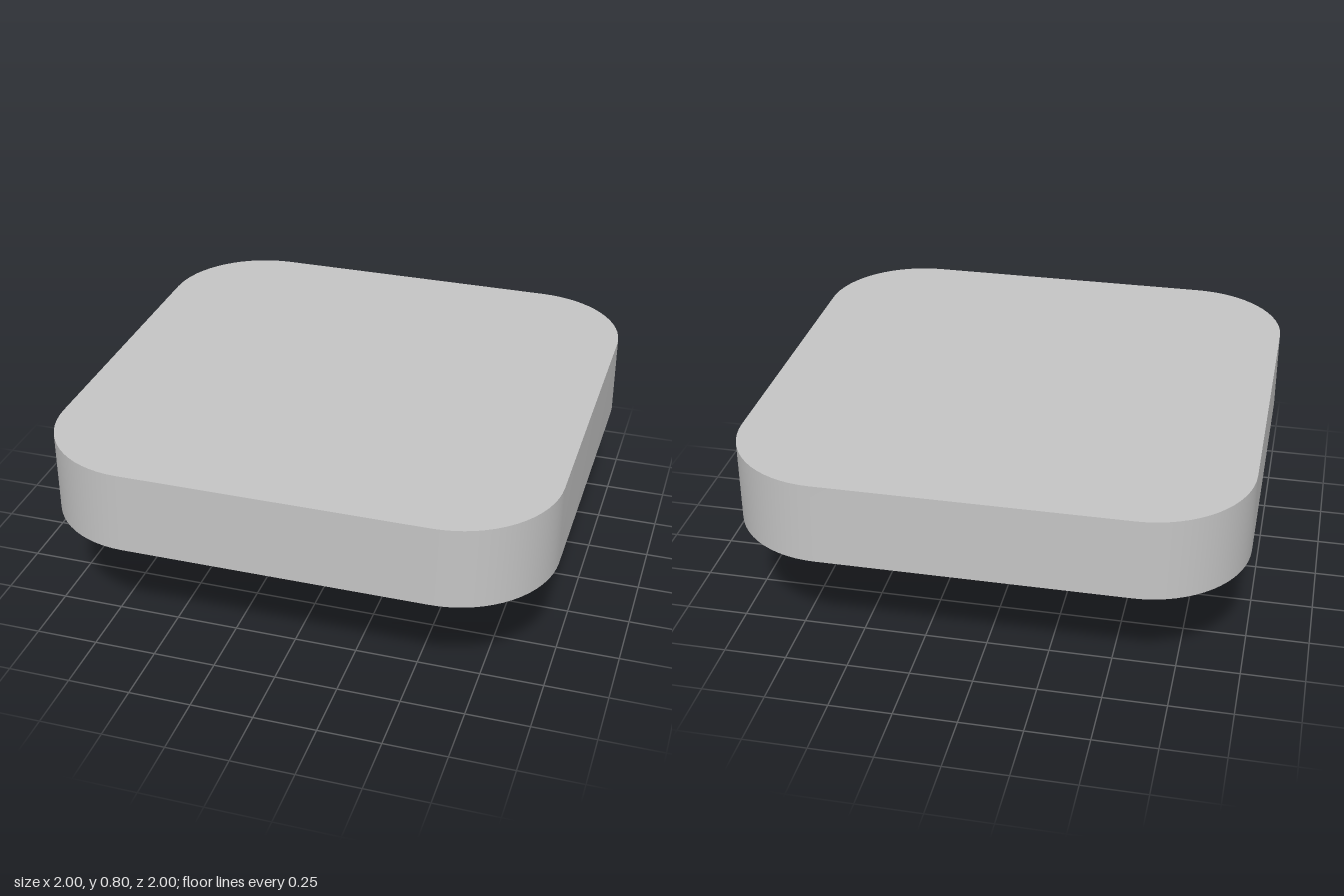
import * as THREE from 'three';
import { toCreasedNormals } from 'three/addons/utils/BufferGeometryUtils.js';

const CORE = 0.6; // distance from the centre to each corner's arc centre
const CEILING = 0.555; // underside of the recess

// Rounded square ring of the given half-width at height y
function ring(half, y, steps = 16) {
  const core = Math.min(half, CORE), radius = Math.max(half - CORE, 0);
  const points = [];
  for (let q = 0; q < 4; q++) {
    const mid = (q + 0.5) * Math.PI / 2;
    const cx = Math.sign(Math.cos(mid)) * core, cz = Math.sign(Math.sin(mid)) * core;
    for (let i = 0; i <= steps; i++) {
      const a = (q + i / steps) * Math.PI / 2;
      points.push(new THREE.Vector3(cx + radius * Math.cos(a), y, cz + radius * Math.sin(a)));
    }
  }
  return points;
}

// Join rings along a [half-width, y] profile; a half-width of 0 closes a cap
function slabGeometry(profile) {
  const rings = profile.map(([half, y]) => ring(half, y));
  const corners = [];
  for (let r = 0; r < rings.length - 1; r++) {
    const a = rings[r], b = rings[r + 1];
    for (let i = 0; i < a.length; i++) {
      const j = (i + 1) % a.length;
      if (profile[r + 1][0] > 0) corners.push(a[i], b[j], b[i]);
      if (profile[r][0] > 0) corners.push(a[i], a[j], b[j]);
    }
  }
  return toCreasedNormals(new THREE.BufferGeometry().setFromPoints(corners), Math.PI / 6);
}

// Straight blade narrowing to a blunt tip
function prongGeometry() {
  const box = new THREE.BoxGeometry(0.136, 2, 0.386, 1, 2, 1);
  const p = box.attributes.position;
  for (let i = 0; i < p.count; i++) {
    const level = Math.round(p.getY(i));
    p.setY(i, level < 0 ? 0 : level === 0 ? 0.16 : CEILING);
    if (level < 0) {
      p.setX(i, Math.sign(p.getX(i)) * 0.03);
      p.setZ(i, Math.sign(p.getZ(i)) * 0.15);
    }
  }
  const flat = box.toNonIndexed();
  flat.computeVertexNormals();
  return flat;
}

export function createModel() {
  const model = new THREE.Group();
  model.name = 'recessedCapWithProngs';
  const grey = new THREE.MeshStandardMaterial({ color: 0xc4c4c4 });
  grey.name = 'lightGrey';

  // Rounded cap with a shallow recess underneath
  const cap = new THREE.Mesh(slabGeometry([
    [0, 0.8], [1, 0.8], [1, 0.47], [0.87, 0.47], [0.87, CEILING], [0, CEILING],
  ]), grey);
  cap.name = 'cap';
  model.add(cap);

  // Pair of prongs
  const prong = prongGeometry();
  for (const side of [-1, 1]) {
    const mesh = new THREE.Mesh(prong, grey);
    mesh.name = side > 0 ? 'leftProng' : 'rightProng';
    mesh.position.x = side * 0.38;
    model.add(mesh);
  }
  return model;
}
